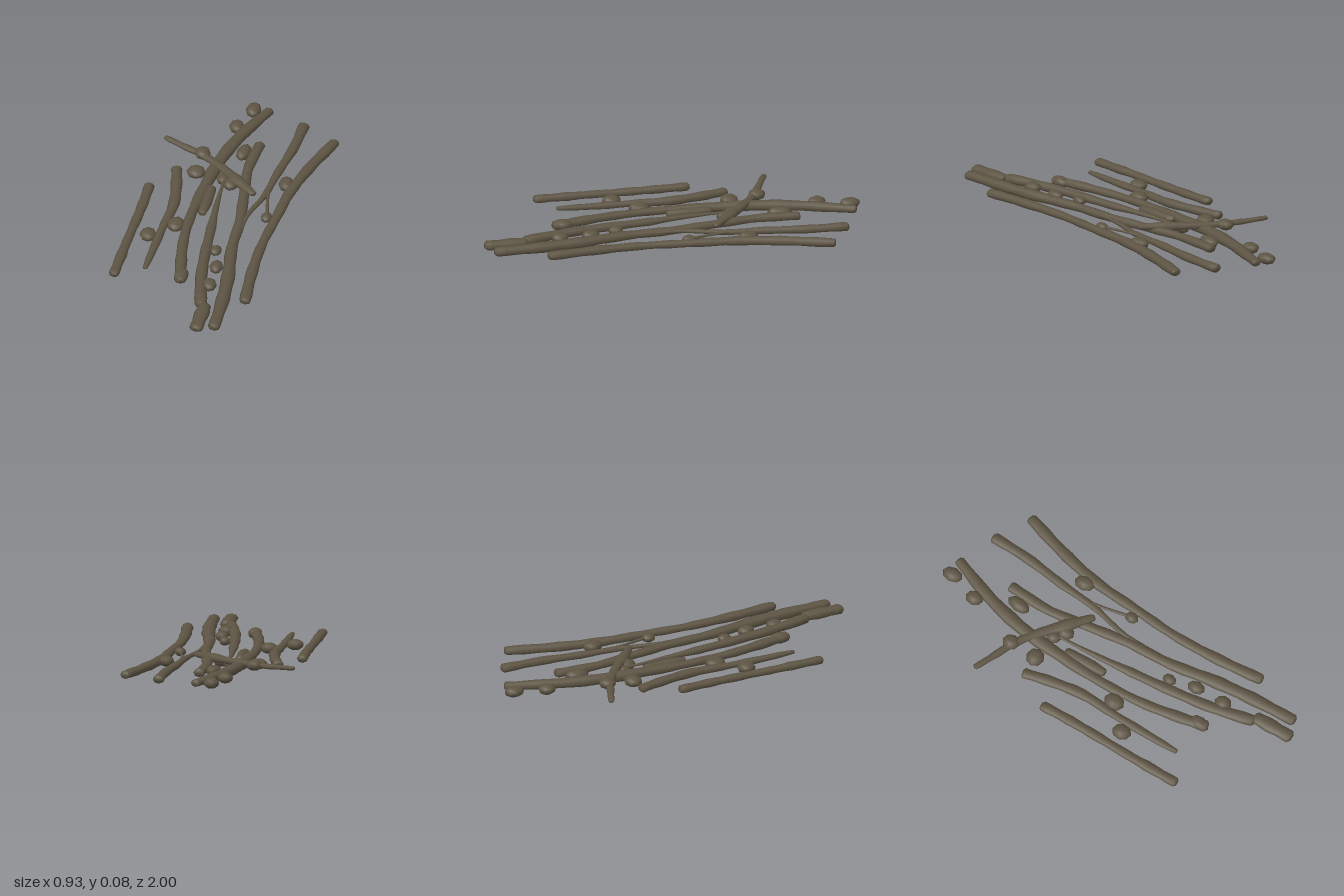
import * as THREE from 'three';

const bark = new THREE.MeshStandardMaterial({ color: 0x5d5443 });
bark.name = 'weathered bark';

// The litter lies on slightly sloping ground
const ground = (z) => 0.037 + 0.008 * z;

// Tapered knobbly branch through [x, z, radius] points, with blunt ends
function stick(name, pts, lift = 0, rise = 0.75, steps = 18, sides = 8) {
  const curve = new THREE.CatmullRomCurve3(
    pts.map(([x, z, r]) => new THREE.Vector3(x, ground(z) + (r < 0.016 ? 0.004 : 0) + lift, z)));
  const up = new THREE.Vector3(0, 1, 0);
  const pos = [], idx = [];
  const last = steps + 2;
  for (let i = 0; i <= last; i++) {
    // the first and last rings are narrowed to round the ends
    const t = THREE.MathUtils.clamp((i - 1) / steps, 0, 1);
    const end = i === 0 ? -1 : i === last ? 1 : 0;
    const s = t * (pts.length - 1), k = Math.min(Math.floor(s), pts.length - 2);
    let r = THREE.MathUtils.lerp(pts[k][2], pts[k + 1][2], s - k);
    r *= 1 + 0.07 * Math.sin(i * 1.9 + pts[0][0] * 20);
    const c = curve.getPoint(t), tan = curve.getTangent(t);
    c.addScaledVector(tan, end * r * 0.35 - (t === 0 ? -r * 0.4 : t === 1 ? r * 0.4 : 0));
    if (end) r *= 0.65;
    const side = new THREE.Vector3().crossVectors(up, tan).normalize();
    for (let j = 0; j < sides; j++) {
      const a = (j / sides) * Math.PI * 2;
      const p = c.clone().addScaledVector(side, Math.cos(a) * r);
      p.y += Math.sin(a) * r * rise;
      pos.push(p.x, p.y, p.z);
      if (i < last) {
        const n = (j + 1) % sides, A = i * sides + j, B = i * sides + n;
        idx.push(A, B, A + sides, B, B + sides, A + sides);
      }
    }
  }
  // end caps
  for (let j = 1; j < sides - 1; j++) {
    const e = last * sides;
    idx.push(0, j + 1, j, e, e + j, e + j + 1);
  }
  const g = new THREE.BufferGeometry();
  g.setAttribute('position', new THREE.Float32BufferAttribute(pos, 3));
  g.setIndex(idx);
  g.computeVertexNormals();
  const m = new THREE.Mesh(g, bark);
  m.name = name;
  return m;
}

// Rounded lump of bark: centre x, z, half width, half length, extra height
const lumpShape = new THREE.SphereGeometry(1, 8, 6);
function lump([x, z, w, l, lift = 0], i) {
  const m = new THREE.Mesh(lumpShape, bark);
  m.name = 'barkLump' + (i + 1);
  m.position.set(x, ground(z) + lift, z);
  m.scale.set(w, Math.min(w * 0.75, 0.028), l);
  m.rotation.y = Math.sin(i * 2.3) * 0.15;
  return m;
}

export function createModel() {
  const model = new THREE.Group();
  model.name = 'fallenSticks';

  // Long branches, lying side by side
  model.add(
    stick('outerRightStick', [[-0.415, -0.2, 0.027], [-0.415, -0.05, 0.027], [-0.42, 0.1, 0.026],
      [-0.43, 0.3, 0.024], [-0.435, 0.45, 0.028], [-0.44, 0.615, 0.026]]),
    stick('innerRightStick', [[-0.31, -0.37, 0.028], [-0.28, -0.22, 0.029], [-0.26, -0.04, 0.029],
      [-0.275, 0.15, 0.022], [-0.285, 0.34, 0.023], [-0.293, 0.53, 0.014]]),
    stick('longBranch', [[0.06, -0.96, 0.027], [-0.04, -0.72, 0.034], [-0.105, -0.48, 0.036],
      [-0.135, -0.24, 0.033], [-0.155, 0, 0.026], [-0.15, 0.24, 0.026], [-0.125, 0.43, 0.03],
      [-0.095, 0.6, 0.03]], 0, 0.75, 26),
    stick('shortPiece', [[-0.1, -0.24, 0.024], [-0.1, -0.12, 0.03], [-0.105, 0, 0.024]], 0, 0.8, 6),
    stick('taperedBranch', [[-0.05, -0.32, 0.006], [-0.045, -0.1, 0.014], [-0.032, 0.12, 0.025],
      [-0.018, 0.34, 0.028], [0.005, 0.56, 0.03], [0.05, 0.79, 0.032]]),
    stick('middleBranch', [[0.068, -0.66, 0.03], [0.05, -0.43, 0.027], [0.075, -0.2, 0.027],
      [0.1, 0.03, 0.027], [0.105, 0.26, 0.029], [0.135, 0.5, 0.035], [0.15, 0.73, 0.035],
      [0.152, 0.97, 0.03]], 0, 0.75, 26),
    stick('forkBranch', [[0.255, -0.87, 0.029], [0.24, -0.65, 0.027], [0.205, -0.43, 0.023],
      [0.178, -0.22, 0.017], [0.13, -0.04, 0.012], [0.115, 0.14, 0.012]]),
    stick('outerLeftBranch', [[0.44, -0.755, 0.03], [0.36, -0.52, 0.031], [0.3, -0.28, 0.03],
      [0.275, -0.04, 0.026], [0.25, 0.2, 0.025], [0.248, 0.45, 0.03], [0.263, 0.715, 0.03]],
      0, 0.75, 26),
    stick('frontStub', [[0.07, 0.775, 0.035], [0.068, 0.88, 0.038], [0.065, 1, 0.034]], 0, 0.65, 6),
    // Stick lying across the others and a thin twig
    stick('crossStick', [[-0.415, -0.593, 0.015], [-0.3, -0.535, 0.019], [-0.2, -0.485, 0.022],
      [-0.08, -0.395, 0.024], [0.03, -0.29, 0.034], [0.13, -0.195, 0.018]], 0.017, 0.7),
    stick('thinTwig', [[0.19, -0.27, 0.008], [0.205, -0.16, 0.008], [0.225, -0.05, 0.009]], 0, 0.8, 6),
  );

  // Scattered lumps: [x, z, half width, half length, lift]
  const lumps = [
    [-0.025, -0.945, 0.04, 0.055], [-0.08, -0.785, 0.04, 0.048],
    [0, -0.57, 0.037, 0.065], [-0.2, -0.5, 0.042, 0.046, 0.018],
    [-0.205, -0.355, 0.05, 0.048], [-0.01, -0.29, 0.04, 0.05],
    [0.268, -0.335, 0.041, 0.056, 0.004], [0.225, -0.035, 0.03, 0.037],
    [-0.215, 0.115, 0.046, 0.056], [-0.337, 0.23, 0.044, 0.051],
    [0.03, 0.3, 0.03, 0.038], [0.06, 0.44, 0.035, 0.048],
    [0.055, 0.6, 0.04, 0.046], [-0.1, 0.55, 0.037, 0.056],
    [-0.06, -0.33, 0.035, 0.04, -0.006],
  ];
  lumps.forEach((l, i) => model.add(lump(l, i)));

  // Rest the lowest point on the floor
  const lowest = new THREE.Box3().setFromObject(model, true).min.y;
  model.children.forEach((m) => { m.position.y -= lowest; });
  return model;
}
